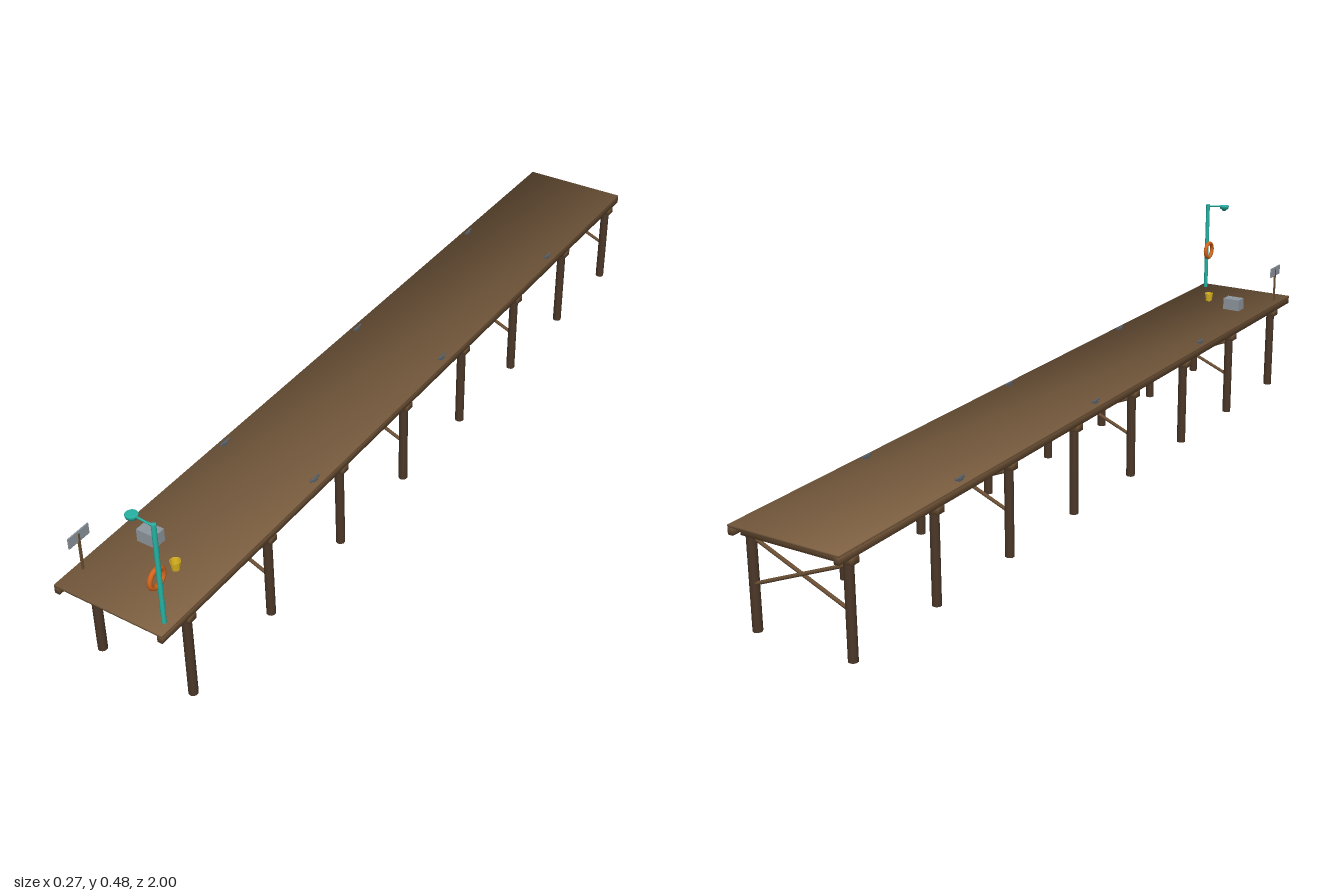
import * as THREE from 'three';

const mat = (name, color, side = THREE.FrontSide) => {
  const m = new THREE.MeshStandardMaterial({ color, side });
  m.name = name;
  return m;
};

export function createModel() {
  const pier = new THREE.Group();
  pier.name = 'pier';

  const plank = mat('plank brown', 0x7f6142);
  const beam = mat('beam brown', 0x6b4f34);
  const pile = mat('dark pile brown', 0x4c3829);
  const grey = mat('crate grey', 0x8e979f);
  const iron = mat('cleat iron', 0x59626b);
  const teal = mat('lamp teal', 0x26b3a4);
  const orange = mat('ring orange', 0xd2641c);
  const yellow = mat('bucket yellow', 0xdcb520, THREE.DoubleSide);

  const add = (name, geo, material, x = 0, y = 0, z = 0, parent = pier) => {
    const mesh = new THREE.Mesh(geo, material);
    mesh.name = name;
    mesh.position.set(x, y, z);
    parent.add(mesh);
    return mesh;
  };
  const box = (w, h, d) => new THREE.BoxGeometry(w, h, d);

  // Box whose corner normals point diagonally outwards, for soft shading
  const softBox = (w, h, d) => {
    const g = box(w, h, d);
    const p = g.attributes.position;
    const k = 1 / Math.sqrt(3);
    for (let i = 0; i < p.count; i++) {
      g.attributes.normal.setXYZ(i, Math.sign(p.getX(i)) * k, Math.sign(p.getY(i)) * k, Math.sign(p.getZ(i)) * k);
    }
    return g;
  };

  // Round rod between two points
  const rod = (name, a, b, r, material, parent = pier) => {
    const from = new THREE.Vector3(...a), to = new THREE.Vector3(...b);
    const dir = to.clone().sub(from);
    const mesh = add(name, new THREE.CylinderGeometry(r, r, dir.length(), 8), material, 0, 0, 0, parent);
    mesh.position.copy(from).add(to).multiplyScalar(0.5);
    mesh.quaternion.setFromUnitVectors(new THREE.Vector3(0, 1, 0), dir.normalize());
    return mesh;
  };

  // Deck and the two edge stringers
  add('deck', softBox(0.264, 0.005, 2), plank, 0, 0.2345, 0);
  for (const s of [-1, 1]) add('stringer', softBox(0.012, 0.016, 2), beam, s * 0.126, 0.2245, 0);

  // Eight bents: two piles and a cap each, cross braces on every second one
  for (let i = 0; i < 8; i++) {
    const bent = new THREE.Group();
    bent.name = 'bent';
    bent.position.z = 0.91 - i * 0.2664;
    pier.add(bent);
    add('cap', softBox(0.266, 0.015, 0.022), beam, 0, 0.2095, 0, bent);
    for (const s of [-1, 1]) {
      add('pile', new THREE.CylinderGeometry(0.0105, 0.0105, 0.208, 10), pile, s * 0.1165, 0.104, 0, bent);
      if (i % 2) rod('crossBrace', [s * 0.114, 0.197, s * 0.003], [-s * 0.114, 0.102, s * 0.003], 0.004, beam, bent);
    }
  }

  // Mooring cleats along both edges
  for (const z of [0.47, -0.06, -0.6]) {
    for (const s of [-1, 1]) {
      const cleat = new THREE.Group();
      cleat.name = 'cleat';
      cleat.position.set(s * 0.117, 0.237, z);
      pier.add(cleat);
      add('cleatBase', box(0.007, 0.005, 0.014), iron, 0, 0.0025, 0, cleat);
      rod('cleatHorn', [0, 0.006, -0.015], [0, 0.006, 0.015], 0.0025, iron, cleat);
    }
  }

  // Crate
  add('crate', box(0.046, 0.03, 0.031), grey, -0.054, 0.252, 0.8);

  // Bucket, open at the top
  const bucketProfile = [[0, 0], [0.0085, 0], [0.0115, 0.021], [0.0103, 0.021], [0.0078, 0.003], [0, 0.003]];
  add('bucket', new THREE.LatheGeometry(bucketProfile.map(p => new THREE.Vector2(...p)), 14).toNonIndexed(),
    yellow, 0.04, 0.237, 0.84).geometry.computeVertexNormals();

  // Sign board on a post
  add('signPost', box(0.004, 0.09, 0.005), beam, -0.1145, 0.282, 0.935);
  add('signBoard', box(0.003, 0.025, 0.058), grey, -0.1145, 0.3205, 0.935);

  // Lamp with arm and shade
  const lamp = new THREE.Group();
  lamp.name = 'lamp';
  lamp.position.z = 0.968;
  pier.add(lamp);
  add('lampPost', new THREE.CylinderGeometry(0.0052, 0.0052, 0.24, 10), teal, 0.1125, 0.357, 0, lamp);
  rod('lampArm', [0.1125, 0.472, 0], [0.066, 0.477, 0], 0.0022, teal, lamp);
  const shade = [[0, 0], [0.004, 0.001], [0.007, 0.005], [0.011, 0.007], [0.0135, 0.014], [0.0125, 0.0155], [0, 0.0155]];
  add('lampShade', new THREE.LatheGeometry(shade.map(p => new THREE.Vector2(...p)), 14), teal, 0.062, 0.4635, 0, lamp);

  // Life ring hung on the lamp post
  const ring = add('lifeRing', new THREE.TorusGeometry(0.0205, 0.0053, 10, 24), orange, 0.106, 0.345, 0, lamp);
  ring.rotation.y = Math.PI / 2;

  return pier;
}
